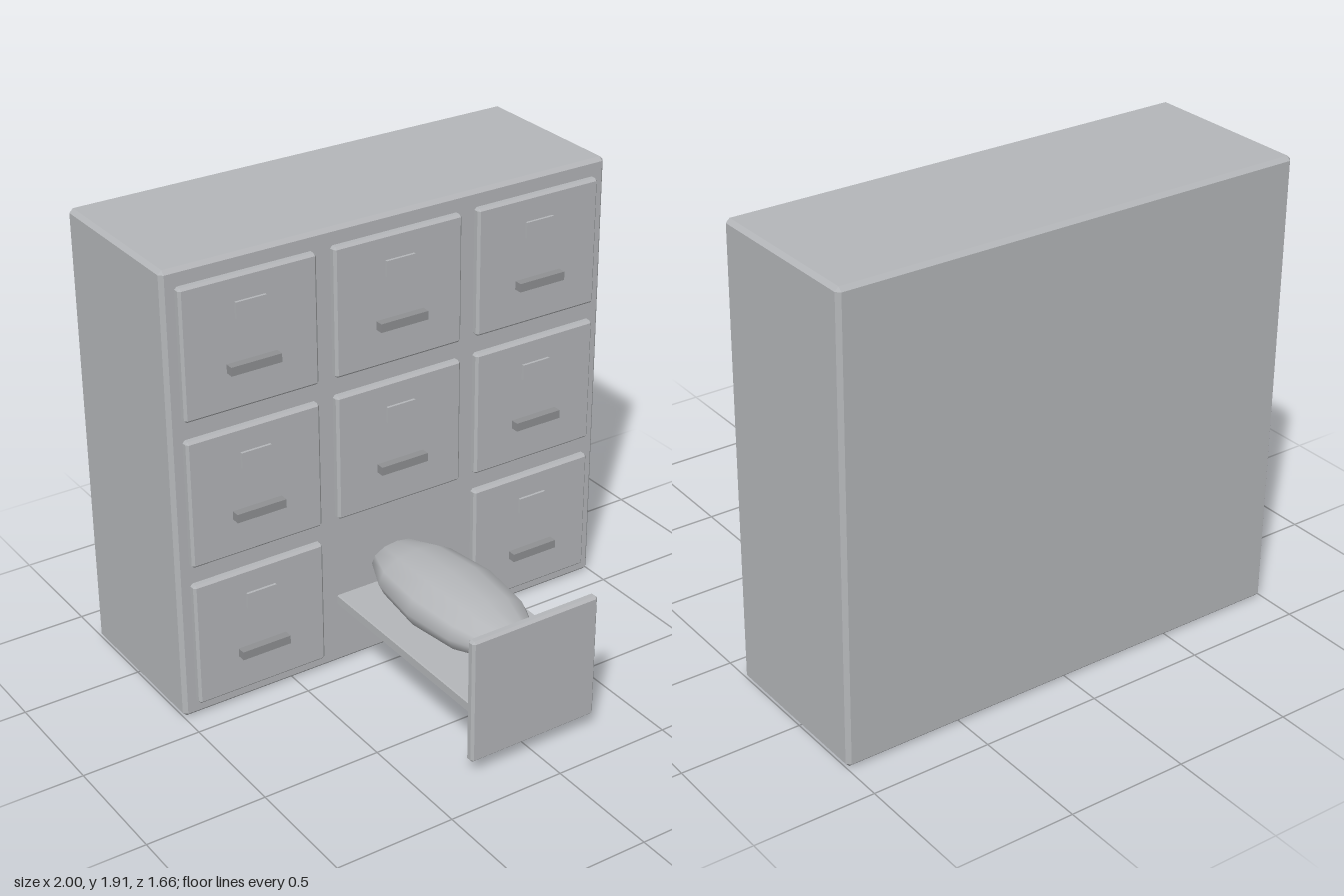
import * as THREE from 'three';
import { ConvexGeometry } from 'three/addons/geometries/ConvexGeometry.js';

const grey = new THREE.MeshStandardMaterial({ color: 0xb4b6b9 });
grey.name = 'steel grey';
const dark = new THREE.MeshStandardMaterial({ color: 0x8f9093 });
dark.name = 'handle grey';

// Box with flat 45 degree chamfers on all edges
function chamferBox(w, h, d, c) {
  const points = [];
  for (const x of [-1, 1]) for (const y of [-1, 1]) for (const z of [-1, 1]) {
    for (const [a, b, e] of [[0, c, c], [c, 0, c], [c, c, 0]]) {
      points.push(new THREE.Vector3(x * (w / 2 - a), y * (h / 2 - b), z * (d / 2 - e)));
    }
  }
  return new ConvexGeometry(points);
}

function add(parent, name, geometry, material, x, y, z) {
  const mesh = new THREE.Mesh(geometry, material);
  mesh.name = name;
  mesh.position.set(x, y, z);
  parent.add(mesh);
  return mesh;
}

export function createModel() {
  const model = new THREE.Group();
  model.name = 'drawerCabinet';

  // Cabinet body
  add(model, 'cabinet', chamferBox(2, 1.91, 0.72, 0.016), grey, 0, 0.955, -0.47);

  // Closed drawer fronts, each with a label holder and a bar handle
  const front = chamferBox(0.58, 0.54, 0.04, 0.01);
  const label = new THREE.BoxGeometry(0.13, 0.066, 0.014);
  const handle = new THREE.BoxGeometry(0.216, 0.036, 0.036);
  for (let row = 0; row < 3; row++) for (let col = -1; col <= 1; col++) {
    if (row === 0 && col === 0) continue;
    const drawer = new THREE.Group();
    drawer.name = 'closedDrawer';
    drawer.position.set(col * 0.655, 0.33 + row * 0.62, 0);
    add(drawer, 'drawerFront', front, grey, 0, 0, -0.1);
    add(drawer, 'labelHolder', label, grey, 0, 0.134, -0.076);
    add(drawer, 'handle', handle, dark, 0, -0.092, -0.063);
    model.add(drawer);
  }

  // Pulled-out drawer: front panel and tray
  const open = new THREE.Group();
  open.name = 'openDrawer';
  add(open, 'openDrawerFront', front, grey, 0, 0.33, 0.81);
  add(open, 'tray', chamferBox(0.57, 0.044, 0.93, 0.004), grey, 0, 0.295, 0.335);
  model.add(open);

  // Covered figure lying on the tray, with feet and a tag
  const body = new THREE.SphereGeometry(1, 12, 6);
  body.rotateX(Math.PI / 2);
  add(open, 'coveredBody', body, grey, 0, 0.41, 0.28).scale.set(0.215, 0.118, 0.48);
  for (const side of [-1, 1]) {
    add(open, 'foot', new THREE.SphereGeometry(0.05, 12, 8), grey, side * 0.075, 0.432, 0.717);
  }
  add(open, 'tag', new THREE.BoxGeometry(0.05, 0.066, 0.008), grey, 0.07, 0.388, 0.78);

  return model;
}
